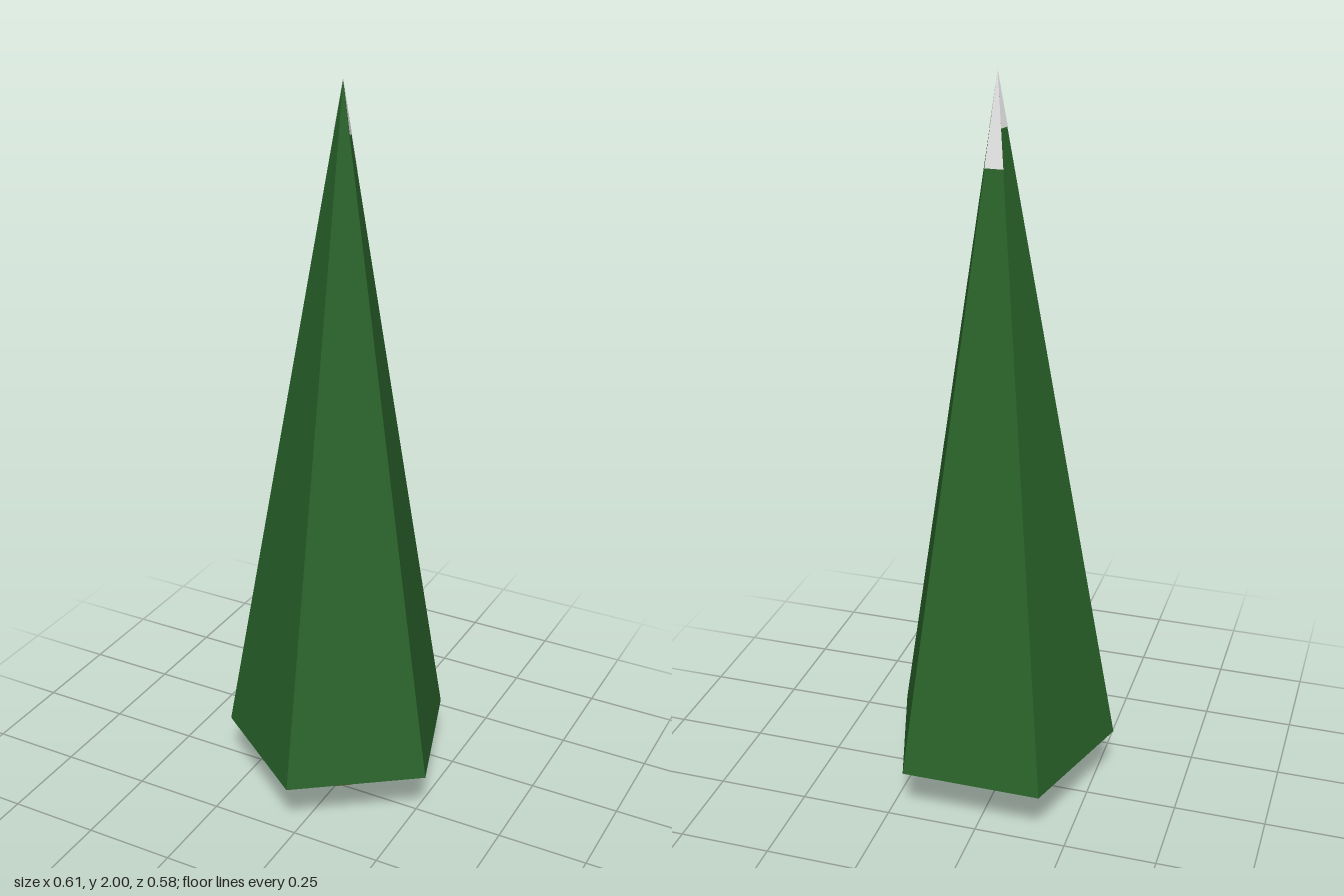
import * as THREE from 'three';

export function createModel() {
  const tree = new THREE.Group();
  tree.name = 'pineTree';

  const material = (name, color) => {
    const m = new THREE.MeshStandardMaterial({ color, flatShading: true, side: THREE.DoubleSide });
    m.name = name;
    return m;
  };
  const green = material('needleGreen', 0x29632a);
  const brown = material('barkBrown', 0x6b4429);
  const white = material('snowWhite', 0xf0f0f0);

  const axisZ = -0.031; // shared axis of all pentagonal cones
  const add = (name, geometry, mat) => {
    const mesh = new THREE.Mesh(geometry, mat);
    mesh.name = name;
    mesh.position.z = axisZ;
    tree.add(mesh);
  };
  // five-sided cone standing on a given height, one corner facing the front
  const cone = (radius, bottom, top, open) =>
    new THREE.ConeGeometry(radius, top - bottom, 5, 1, open).translate(0, (bottom + top) / 2, 0);

  add('trunk', cone(0.046, 0, 0.27, false), brown);
  add('foliage', cone(0.3214, 0.17, 1.995, true), green);
  add('innerSnow', cone(0.24, 0.415, 1.8, false), white);

  // snow on the tip: the back face and the two faces beside it
  const slope = 1.825 / 0.3214;
  const corner = (i, r) => {
    const a = (i * Math.PI * 2) / 5;
    return [Math.sin(a) * (r + 0.0012), 1.995 - r * slope, Math.cos(a) * (r + 0.0012)];
  };
  const tip = [];
  for (const [i, r] of [[1, 0.0225], [2, 0.039], [3, 0.0225]]) {
    tip.push(0, 2, 0, ...corner(i, r), ...corner(i + 1, r));
  }
  const tipGeometry = new THREE.BufferGeometry();
  tipGeometry.setAttribute('position', new THREE.Float32BufferAttribute(tip, 3));
  tipGeometry.computeVertexNormals();
  add('snowTip', tipGeometry, white);

  return tree;
}
